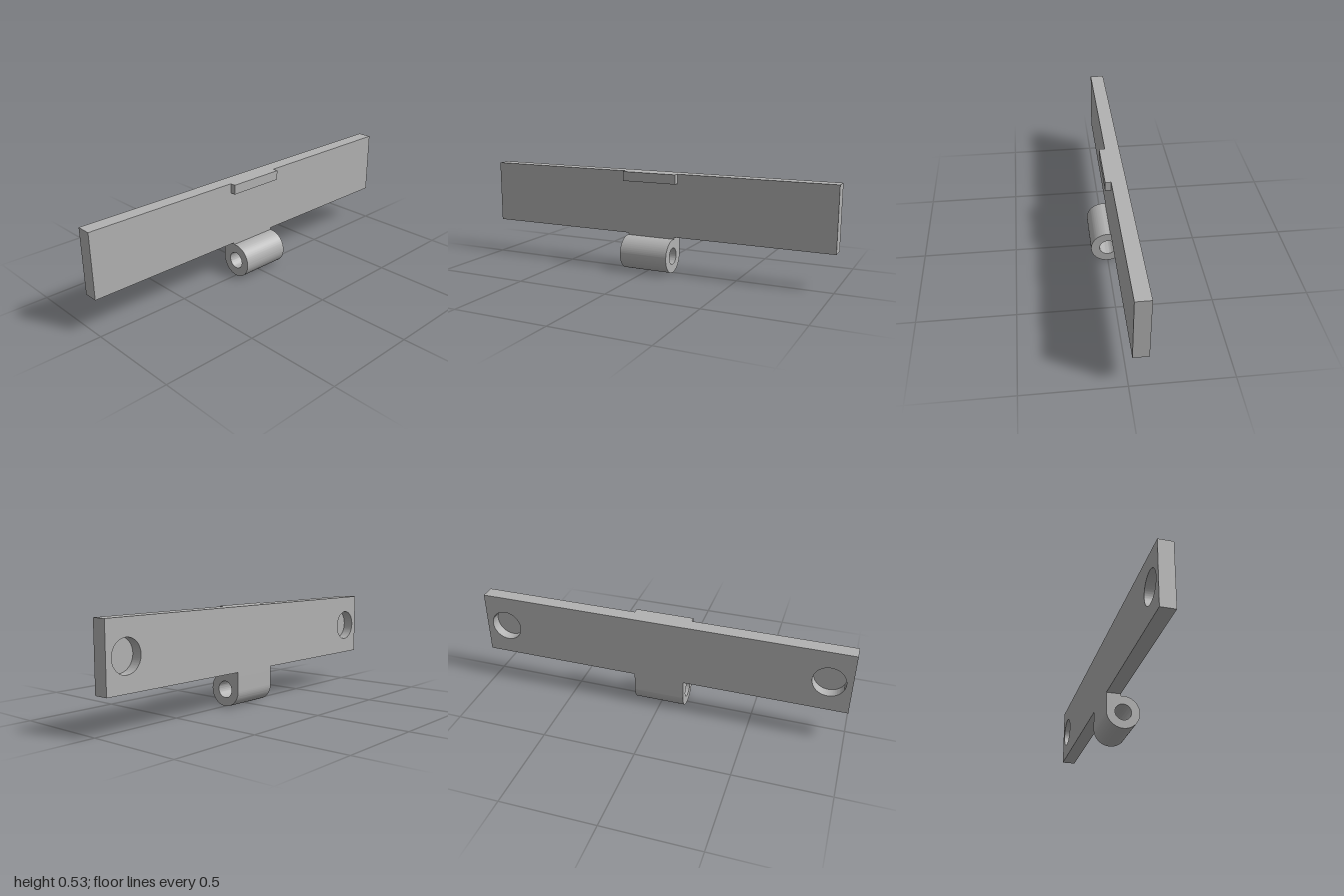
import * as THREE from 'three';
import { toCreasedNormals } from 'three/addons/utils/BufferGeometryUtils.js';

const LEFT = -0.0905, RIGHT = -0.0135;    // plate faces in x
const BOTTOM = 0.191, TOP = 0.534;        // plate edges in y
const R = 0.0905, BORE = 0.0445;          // hinge barrel

function extrude(shape, depth) {
  const geo = new THREE.ExtrudeGeometry(shape, { depth, bevelEnabled: false, curveSegments: 48 });
  return toCreasedNormals(geo, 0.5);
}

function circleHole(x, y, r) {
  return new THREE.Path().absarc(x, y, r, 0, Math.PI * 2, true);
}

export function createModel() {
  const group = new THREE.Group();
  const metal = new THREE.MeshStandardMaterial({ color: 0xb2b2b2 });
  metal.name = 'grey metal';

  const add = (name, geo) => {
    const mesh = new THREE.Mesh(geo, metal);
    mesh.name = name;
    group.add(mesh);
    return mesh;
  };
  const addBox = (name, x0, x1, y0, y1, length) =>
    add(name, new THREE.BoxGeometry(x1 - x0, y1 - y0, length))
      .position.set((x0 + x1) / 2, (y0 + y1) / 2, 0);

  // Long plate: a solid layer, then a layer pierced by the two blind holes
  const holeDepth = 0.056;
  const floorX = LEFT + holeDepth;
  addBox('plateSolidLayer', floorX, RIGHT, BOTTOM, TOP, 2);

  const face = new THREE.Shape();
  face.moveTo(-1, BOTTOM);
  face.lineTo(1, BOTTOM);
  face.lineTo(1, TOP);
  face.lineTo(-1, TOP);
  face.closePath();
  for (const side of [-1, 1]) face.holes.push(circleHole(side * 0.884, 0.36, 0.084));
  const pierced = add('plateHoledLayer', extrude(face, holeDepth));
  pierced.rotation.y = -Math.PI / 2;
  pierced.position.x = floorX;

  // Small lip along the middle of the top edge
  addBox('lip', RIGHT, 0.017, 0.483, TOP, 0.31);

  // Hinge barrel with its arm up to the plate
  const length = 0.274;
  const meet = Math.acos(RIGHT / R);
  const hinge = new THREE.Shape();
  hinge.moveTo(LEFT, BOTTOM);
  hinge.lineTo(LEFT, R);
  hinge.absarc(0, R, R, Math.PI, Math.PI * 2 + meet, false);
  hinge.lineTo(RIGHT, BOTTOM);
  hinge.closePath();
  hinge.holes.push(circleHole(0, R, BORE));
  add('hingeBarrel', extrude(hinge, length)).position.z = -length / 2;

  return group;
}
